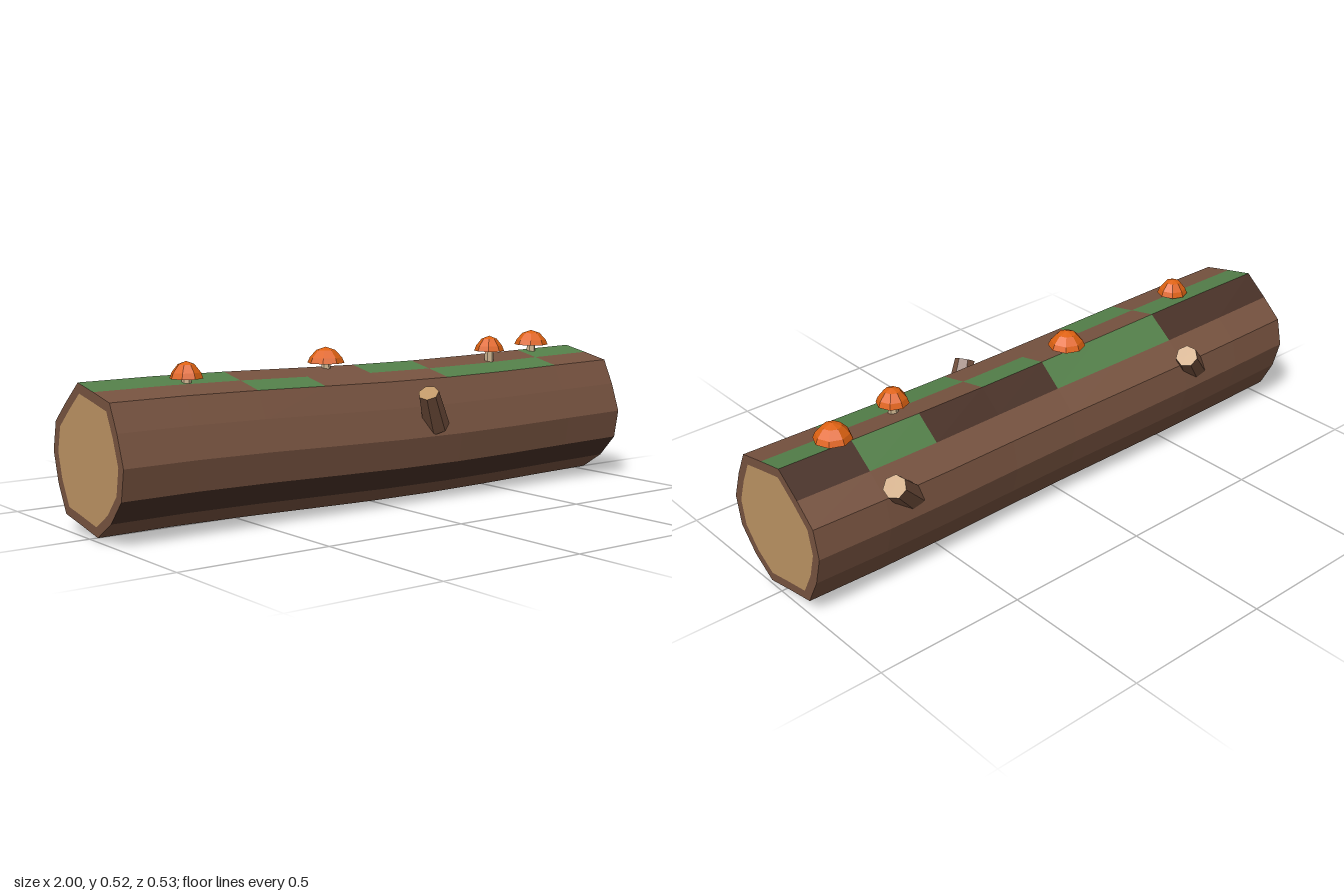
import * as THREE from 'three';

const paint = (name, color) => {
  const m = new THREE.MeshStandardMaterial({ color });
  m.name = name;
  return m;
};

// Log cross-section as [z, y], running from the front over the top to the back
const SECTION = [
  [0.217, 0.232], [0.183, 0.328], [0.143, 0.411], [0.045, 0.432], [-0.05, 0.451],
  [-0.132, 0.385], [-0.203, 0.322], [-0.223, 0.23], [-0.197, 0.135], [-0.15, 0.046],
  [-0.05, 0.028], [0.052, 0.008], [0.135, 0.062], [0.2, 0.136],
];
const SIDES = SECTION.length, STEPS = 8;
const DARK_STRIPS = [4, 9, 12];
// Mossy cells along each strip, counted from the -x end
const MOSS = { 2: [2, 5, 6], 3: [0, 1, 4, 7], 4: [2, 3, 6] };

// A point of the log surface, with a gentle waviness along its length
function logPoint(step, side) {
  const x = -1 + (2 * step) / STEPS;
  const [z, y] = SECTION[side % SIDES];
  const dy = -0.007 * Math.sin(3.1 * (x + 0.3));
  const dz = (z < -0.1 ? 0.007 : 0.002) * Math.cos(4.5 * (x - 0.1));
  return [x, y + dy, z + dz];
}

// Flat-faced mesh from a list of corner points
function facets(name, points, material) {
  const g = new THREE.BufferGeometry();
  g.setAttribute('position', new THREE.Float32BufferAttribute(points.flat(), 3));
  g.computeVertexNormals();
  const mesh = new THREE.Mesh(g, material);
  mesh.name = name;
  return mesh;
}

function flatMesh(name, geometry, material) {
  const g = geometry.toNonIndexed();
  g.computeVertexNormals();
  const mesh = new THREE.Mesh(g, material);
  mesh.name = name;
  return mesh;
}

export function createModel() {
  const bark = paint('bark', 0x775340);
  const darkBark = paint('dark bark', 0x4a3228);
  const wood = paint('cut wood', 0xbd9463);
  const moss = paint('moss', 0x54804a);
  const orange = paint('mushroom orange', 0xdf6212);
  const cream = paint('mushroom stem', 0xcdb48f);

  const model = new THREE.Group();
  model.name = 'mossyLog';

  // Log surface, sorted by colour
  const cells = { bark: [], dark: [], moss: [] };
  for (let j = 0; j < SIDES; j++) {
    for (let i = 0; i < STEPS; i++) {
      const a = logPoint(i, j), b = logPoint(i, j + 1);
      const c = logPoint(i + 1, j + 1), d = logPoint(i + 1, j);
      const kind = MOSS[j]?.includes(i) ? 'moss' : DARK_STRIPS.includes(j) ? 'dark' : 'bark';
      cells[kind].push(a, d, c, a, c, b);
    }
  }
  model.add(
    facets('logBark', cells.bark, bark),
    facets('darkBarkStrips', cells.dark, darkBark),
    facets('mossPatches', cells.moss, moss),
  );

  // Cut ends: a bark rim around bare wood
  for (const step of [0, STEPS]) {
    const rim = [], face = [];
    const x = step ? 1 : -1;
    const centre = [x, 0.23, 0];
    const inner = (p) => p.map((v, k) => centre[k] + (v - centre[k]) * 0.86);
    for (let j = 0; j < SIDES; j++) {
      let a = logPoint(step, j), b = logPoint(step, j + 1);
      if (step) [a, b] = [b, a];
      rim.push(a, b, inner(b), a, inner(b), inner(a));
      face.push(centre, a === b ? a : inner(a), inner(b));
    }
    const side = step ? 'left' : 'right';
    model.add(facets(side + 'EndRim', rim, bark), facets(side + 'EndWood', face, wood));
  }

  // Sawn-off branch stubs
  const stub = (name, from, to, rTip, rBase) => {
    const start = new THREE.Vector3(...from), end = new THREE.Vector3(...to);
    const axis = end.clone().sub(start);
    const g = new THREE.CylinderGeometry(rTip, rBase, axis.length(), 7);
    const mesh = flatMesh(name, g, [bark, wood, bark]);
    mesh.position.copy(start).add(end).multiplyScalar(0.5);
    mesh.quaternion.setFromUnitVectors(new THREE.Vector3(0, 1, 0), axis.normalize());
    model.add(mesh);
  };
  stub('frontStub', [0.16, 0.255, 0.19], [0.09, 0.372, 0.235], 0.034, 0.045);
  for (const x of [-0.49, 0.73]) {
    stub('backStub', [x - 0.09, 0.27, -0.18], [x, 0.368, -0.23], 0.037, 0.046);
  }

  // Mushrooms: x, z, rim height, cap radius
  const spots = [
    [-0.68, 0.025, 0.458, 0.052], [-0.12, -0.035, 0.465, 0.061],
    [0.54, 0.027, 0.471, 0.052], [0.8, -0.033, 0.475, 0.06],
  ];
  for (const [x, z, y, r] of spots) {
    const mushroom = new THREE.Group();
    mushroom.name = 'mushroom';
    mushroom.position.set(x, y, z);
    const profile = [[0, 0.006], [r, -0.004], [r * 0.87, 0.014], [r * 0.5, 0.038], [0, 0.048]];
    const cap = new THREE.LatheGeometry(profile.map((p) => new THREE.Vector2(...p)), 8);
    const stem = new THREE.CylinderGeometry(0.014, 0.017, 0.06, 6);
    stem.translate(0, -0.02, 0);
    mushroom.add(flatMesh('mushroomCap', cap, orange), flatMesh('mushroomStem', stem, cream));
    model.add(mushroom);
  }
  return model;
}
